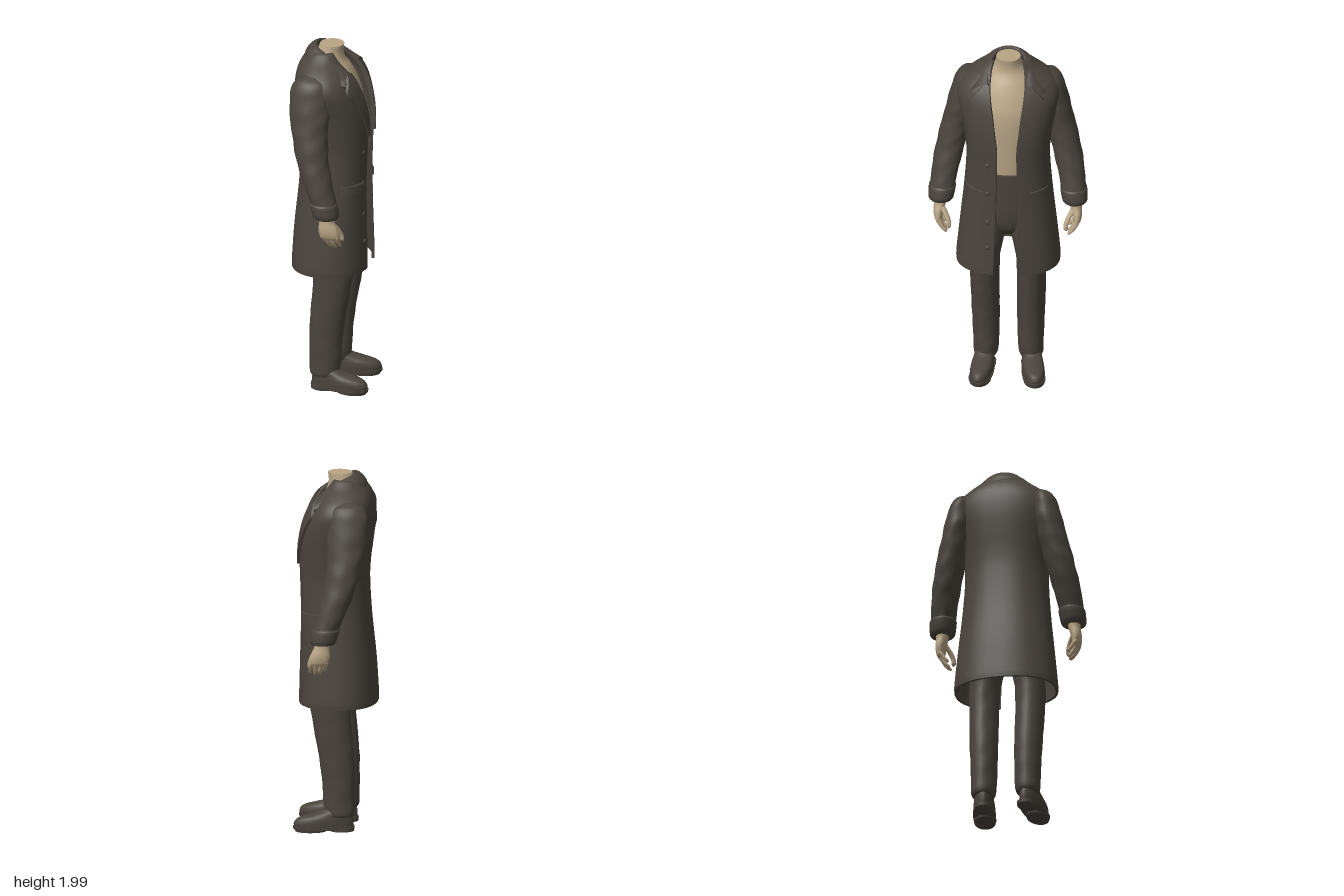
import * as THREE from 'three';
import { toCreasedNormals } from 'three/addons/utils/BufferGeometryUtils.js';

const cloth = new THREE.MeshStandardMaterial({ color: 0x4a443d, side: THREE.DoubleSide });
cloth.name = 'darkCloth';
const skin = new THREE.MeshStandardMaterial({ color: 0xb9a586 });
skin.name = 'skin';

// Smooth lookup of a row [y, ...values] at height y (rows ascend in y)
function at(rows, y) {
  let k = 0;
  while (k < rows.length - 2 && y > rows[k + 1][0]) k++;
  const slope = (i, c) => {
    const a = rows[Math.max(i - 1, 0)], b = rows[Math.min(i + 1, rows.length - 1)];
    return (b[c] - a[c]) / (b[0] - a[0]);
  };
  const p = rows[k], q = rows[k + 1], h = q[0] - p[0], t = (y - p[0]) / h, t2 = t * t, t3 = t2 * t;
  return p.map((v, c) => c === 0 ? y :
    (2 * t3 - 3 * t2 + 1) * v + (t3 - 2 * t2 + t) * h * slope(k, c) +
    (3 * t2 - 2 * t3) * q[c] + (t3 - t2) * h * slope(k + 1, c));
}
function heights(rows, sub) {
  const ys = [rows[0][0]];
  for (let k = 1; k < rows.length; k++)
    for (let i = 1; i <= sub; i++) ys.push(rows[k - 1][0] + (rows[k][0] - rows[k - 1][0]) * i / sub);
  return ys;
}

// Surface through rows of points; cap: 'fan' closes the ends, 'wall' joins two layers of a shell
function skinRows(name, rings, mat, closed, cap) {
  const n = rings[0].length, m = rings.length, pos = rings.flat(2), idx = [];
  for (let i = 0; i < m - 1; i++)
    for (let j = 0; j < (closed ? n : n - 1); j++) {
      const a = i * n + j, b = i * n + (j + 1) % n;
      idx.push(a, b, b + n, a, b + n, a + n);
    }
  for (const [row, up] of [[0, false], [m - 1, true]]) {
    const o = row * n;
    if (cap === 'fan') {
      for (let j = 1; j < n - 1; j++) idx.push(o, ...(up ? [o + j, o + j + 1] : [o + j + 1, o + j]));
    } else if (cap === 'wall') {
      for (let j = 0; j < n / 2 - 1; j++) {
        const a = o + j, b = a + 1, c = o + n - 2 - j, d = o + n - 1 - j;
        idx.push(...(up ? [a, b, c, a, c, d] : [a, c, b, a, d, c]));
      }
    }
  }
  const geo = new THREE.BufferGeometry();
  geo.setAttribute('position', new THREE.Float32BufferAttribute(pos, 3));
  geo.setIndex(idx);
  const mesh = new THREE.Mesh(toCreasedNormals(geo, 0.9), mat);
  mesh.name = name;
  return mesh;
}

// Elliptical loft; rows are [y, centreX, centreZ, radiusX, radiusZ], s mirrors it
function loft(name, rows, mat, { s = 1, n = 28, sub = 4, fold = 0, warp = 0 } = {}) {
  const rings = heights(rows, sub).map((y) => {
    const [, cx, cz, rx, rz] = at(rows, y), ring = [];
    for (let j = 0; j < n; j++) {
      const a = j / n * Math.PI * 2;
      const f = 1 + fold * Math.sin(y * 48 + Math.sin(a) * 2.5 * s) * Math.cos(a * 2 + y * 9 * s);
      ring.push([s * cx + rx * f * Math.sin(a) * (1 + warp * Math.cos(a)), y, cz + rz * f * Math.cos(a)]);
    }
    return ring;
  });
  return skinRows(name, rings, mat, true, 'fan');
}

// Coat profile: [y, half width, back z, front z, half opening]
const COAT = [
  [0.71, 0.284, -0.233, 0.2, 0.075], [0.74, 0.285, -0.233, 0.2, 0.074],
  [0.95, 0.265, -0.22, 0.195, 0.066], [1.2, 0.24, -0.195, 0.19, 0.06],
  [1.4, 0.228, -0.185, 0.195, 0.056], [1.5, 0.235, -0.19, 0.198, 0.056],
  [1.6, 0.25, -0.203, 0.194, 0.068], [1.7, 0.27, -0.214, 0.176, 0.08],
  [1.78, 0.28, -0.215, 0.15, 0.092], [1.84, 0.255, -0.208, 0.12, 0.098],
  [1.88, 0.212, -0.195, 0.09, 0.098], [1.92, 0.155, -0.17, 0.055, 0.095],
  [1.96, 0.112, -0.135, 0.03, 0.085],
];
const P = 0.87;
const bend = (v) => Math.sign(v) * Math.abs(v) ** P;
function coatZ(x, y) {
  const [, w, back, front] = at(COAT, y);
  const sin = Math.min(1, Math.abs(x) / w) ** (1 / P);
  return (back + front) / 2 + (front - back) / 2 * Math.sqrt(1 - sin * sin) ** P;
}
function coatBody() {
  const N = 56;
  const rings = heights(COAT, 4).map((y) => {
    const [, w, back, front, gap] = at(COAT, y);
    const t0 = Math.asin(Math.min(1, gap / w) ** (1 / P));
    const layer = (d) => Array.from({ length: N + 1 }, (_, j) => {
      const t = t0 + (Math.PI * 2 - 2 * t0) * j / N;
      return [(w - d) * bend(Math.sin(t)), y, (back + front) / 2 + ((front - back) / 2 - d) * bend(Math.cos(t))];
    });
    return [...layer(0), ...layer(0.014).reverse()];
  });
  return skinRows('coatBody', rings, cloth, true, 'wall');
}

// Panel lying on the coat front; edges(y) gives its inner and outer x
function panel(name, y0, y1, edges, s, lift) {
  const rings = [], M = 16;
  for (let i = 0; i <= M; i++) {
    const y = y0 + (y1 - y0) * i / M, [a, b] = edges(y);
    rings.push([0, 0, 0.25, 0.5, 0.75, 1, 1].map((u, j) => {
      const x = a + (b - a) * u, edge = j === 0 || j === 6 || ((i === 0 || i === M) && lift < 0.013);
      return [s * x, y, coatZ(x, y) + (edge ? -0.004 : lift)];
    }));
  }
  return skinRows(name, rings, cloth, false);
}

// Turned collar: fold line and outer edge, from the back centre to the front end
function collar() {
  const fold = [[0, 1.997, -0.1], [0.055, 1.988, -0.085], [0.09, 1.96, -0.025], [0.102, 1.92, 0.035], [0.1, 1.87, 0.1]];
  const edge = [[0, 1.915, -0.168], [0.1, 1.9, -0.145], [0.172, 1.865, -0.07], [0.2, 1.83, 0.02], [0.2, 1.81, 0.1]];
  const curve = (pts) => new THREE.CatmullRomCurve3([
    ...pts.slice(1).reverse().map(([x, y, z]) => [-x, y, z]), ...pts,
  ].map((p) => new THREE.Vector3(...p)));
  const cf = curve(fold), ce = curve(edge), rings = [];
  for (let i = 0; i <= 48; i++) {
    const f = cf.getPoint(i / 48), e = ce.getPoint(i / 48), d = e.clone().sub(f);
    const out = new THREE.Vector3(d.x, 0, d.z).normalize();
    const mk = (u, up, o) => f.clone().addScaledVector(d, u).addScaledVector(out, o).add(new THREE.Vector3(0, up, 0));
    const section = new THREE.CatmullRomCurve3([
      mk(0, -0.06, 0.012), mk(0, -0.015, 0), mk(0.08, 0.003, 0.003), mk(0.5, 0.012, 0.014), mk(1, 0.006, 0.004), mk(0.95, -0.016, -0.01),
    ]);
    rings.push(section.getPoints(14).map((p) => p.toArray()));
  }
  return skinRows('collar', rings, cloth, false);
}

function arm(s) {
  const g = new THREE.Group();
  g.name = s > 0 ? 'leftArm' : 'rightArm';
  g.add(loft('sleeve', [
    [1.13, 0.365, 0.032, 0.064, 0.068], [1.2, 0.356, 0.015, 0.069, 0.072], [1.3, 0.34, -0.02, 0.075, 0.08],
    [1.4, 0.318, -0.05, 0.079, 0.088], [1.48, 0.3, -0.066, 0.08, 0.093], [1.58, 0.275, -0.08, 0.08, 0.102],
    [1.68, 0.252, -0.086, 0.079, 0.112], [1.78, 0.236, -0.088, 0.069, 0.108], [1.84, 0.225, -0.088, 0.05, 0.085],
    [1.865, 0.215, -0.088, 0.02, 0.04],
  ], cloth, { s, fold: 0.03 }));
  g.add(loft('cuff', [
    [1.105, 0.367, 0.036, 0.062, 0.064], [1.115, 0.366, 0.035, 0.069, 0.071],
    [1.18, 0.359, 0.02, 0.074, 0.077], [1.19, 0.358, 0.018, 0.068, 0.071],
  ], cloth, { s }));
  g.add(loft('palm', [
    [0.982, 0.376, 0.06, 0.014, 0.046], [1.0, 0.379, 0.058, 0.022, 0.054], [1.04, 0.379, 0.05, 0.028, 0.054],
    [1.085, 0.37, 0.041, 0.033, 0.042], [1.13, 0.366, 0.036, 0.036, 0.042],
  ], skin, { s }));
  for (let i = 0; i < 4; i++) {
    const z = 0.017 + 0.027 * i, low = [0.945, 0.925, 0.92, 0.93][i];
    g.add(loft('finger', [
      [low, 0.336, z + 0.01, 0.004, 0.004], [low + 0.007, 0.339, z + 0.009, 0.011, 0.01],
      [low + 0.03, 0.358, z + 0.006, 0.013, 0.012], [1.0, 0.378, z, 0.016, 0.014], [1.02, 0.38, z, 0.01, 0.01],
    ], skin, { s, n: 10, sub: 3 }));
  }
  g.add(loft('thumb', [
    [0.958, 0.322, 0.117, 0.004, 0.004], [0.966, 0.32, 0.115, 0.011, 0.011], [0.99, 0.32, 0.11, 0.013, 0.013],
    [1.025, 0.333, 0.095, 0.015, 0.016], [1.07, 0.36, 0.068, 0.016, 0.018],
  ], skin, { s, n: 12, sub: 3 }));
  return g;
}

function leg(s) {
  const g = new THREE.Group();
  g.name = s > 0 ? 'leftLeg' : 'rightLeg';
  g.add(loft('trouserLeg', [
    [0.085, 0.124, -0.035, 0.06, 0.075], [0.1, 0.124, -0.034, 0.067, 0.082], [0.14, 0.122, -0.03, 0.069, 0.086],
    [0.25, 0.122, -0.028, 0.073, 0.09], [0.4, 0.124, -0.018, 0.077, 0.097], [0.6, 0.128, 0.008, 0.08, 0.106],
    [0.75, 0.126, 0.02, 0.084, 0.113], [0.9, 0.104, 0.012, 0.09, 0.12], [1.05, 0.085, 0, 0.088, 0.125],
  ], cloth, { s, fold: 0.018 }));
  // Shoe, toe turned slightly outward
  const shoe = new THREE.Group();
  shoe.name = 'shoe';
  shoe.position.set(s * 0.122, 0, -0.045);
  shoe.rotation.y = s * 0.15;
  shoe.add(loft('shoeUpper', [
    [0.025, 0, 0.1, 0.058, 0.162], [0.05, 0, 0.1, 0.06, 0.163], [0.075, 0, 0.09, 0.058, 0.15],
    [0.092, 0, 0.065, 0.054, 0.12], [0.11, 0, 0.03, 0.052, 0.09], [0.135, 0, 0.01, 0.048, 0.07],
  ], cloth, { warp: 0.12 }));
  shoe.add(loft('sole', [[0.012, 0, 0.1, 0.062, 0.166], [0.03, 0, 0.1, 0.063, 0.169]], cloth, { warp: 0.12, sub: 1 }));
  shoe.add(loft('heel', [[0, 0, 0, 0.052, 0.066], [0.02, 0, 0, 0.054, 0.068]], cloth, { sub: 1 }));
  shoe.add(loft('soleFront', [[0, 0, 0.17, 0.058, 0.085], [0.02, 0, 0.172, 0.063, 0.092]], cloth, { sub: 1 }));
  g.add(shoe);
  return g;
}

export function createModel() {
  const model = new THREE.Group();
  model.name = 'headlessFigureInCoat';
  const body = new THREE.Group();
  body.name = 'figure';
  body.rotation.y = Math.PI / 2; // the figure looks toward +x
  model.add(body);

  body.add(coatBody(), collar());
  body.add(loft('torso', [
    [1.25, 0, 0, 0.165, 0.13], [1.4, 0, 0, 0.17, 0.139], [1.55, 0, -0.01, 0.19, 0.157], [1.68, 0, -0.02, 0.2, 0.165],
    [1.78, 0, -0.035, 0.19, 0.15], [1.85, 0, -0.045, 0.15, 0.127], [1.9, 0, -0.045, 0.1, 0.095],
    [1.94, 0, -0.035, 0.075, 0.075], [1.987, 0, -0.022, 0.066, 0.066],
  ], skin, { n: 40 }));
  body.add(loft('trouserHips', [
    [0.9, 0, 0, 0.07, 0.07], [0.95, 0, 0, 0.14, 0.11], [1.05, 0, -0.005, 0.18, 0.135],
    [1.2, 0, 0, 0.178, 0.138], [1.31, 0, 0, 0.174, 0.143],
  ], cloth, { n: 40 }));
  body.add(loft('waistband', [[1.27, 0, 0, 0.178, 0.145], [1.312, 0, 0, 0.177, 0.146]], cloth, { n: 40, sub: 1 }));

  for (const s of [1, -1]) {
    body.add(arm(s), leg(s));
    // Lapel widens to a tip below the collar notch
    body.add(panel('lapel', 1.48, 1.86, (y) => {
      const inner = at(COAT, y)[4];
      const outer = y < 1.78 ? 0.062 + (y - 1.48) * 0.487 : 0.208 - (y - 1.78) * 0.9;
      return [inner - 0.002, Math.max(outer, inner + 0.004)];
    }, s, 0.014));
    body.add(panel('pocketFlap', 1.175, 1.23, (y) => [0.13, 0.222 + (1.23 - y) * 0.08], s, 0.011));
  }

  // Front buttons
  for (const y of [1.4, 1.22, 1.04, 0.88]) {
    const button = new THREE.Mesh(new THREE.SphereGeometry(0.014, 14, 8), cloth);
    button.name = 'button';
    button.scale.z = 0.45;
    button.position.set(-0.105, y, coatZ(0.105, y) + 0.002);
    body.add(button);
  }
  return model;
}
